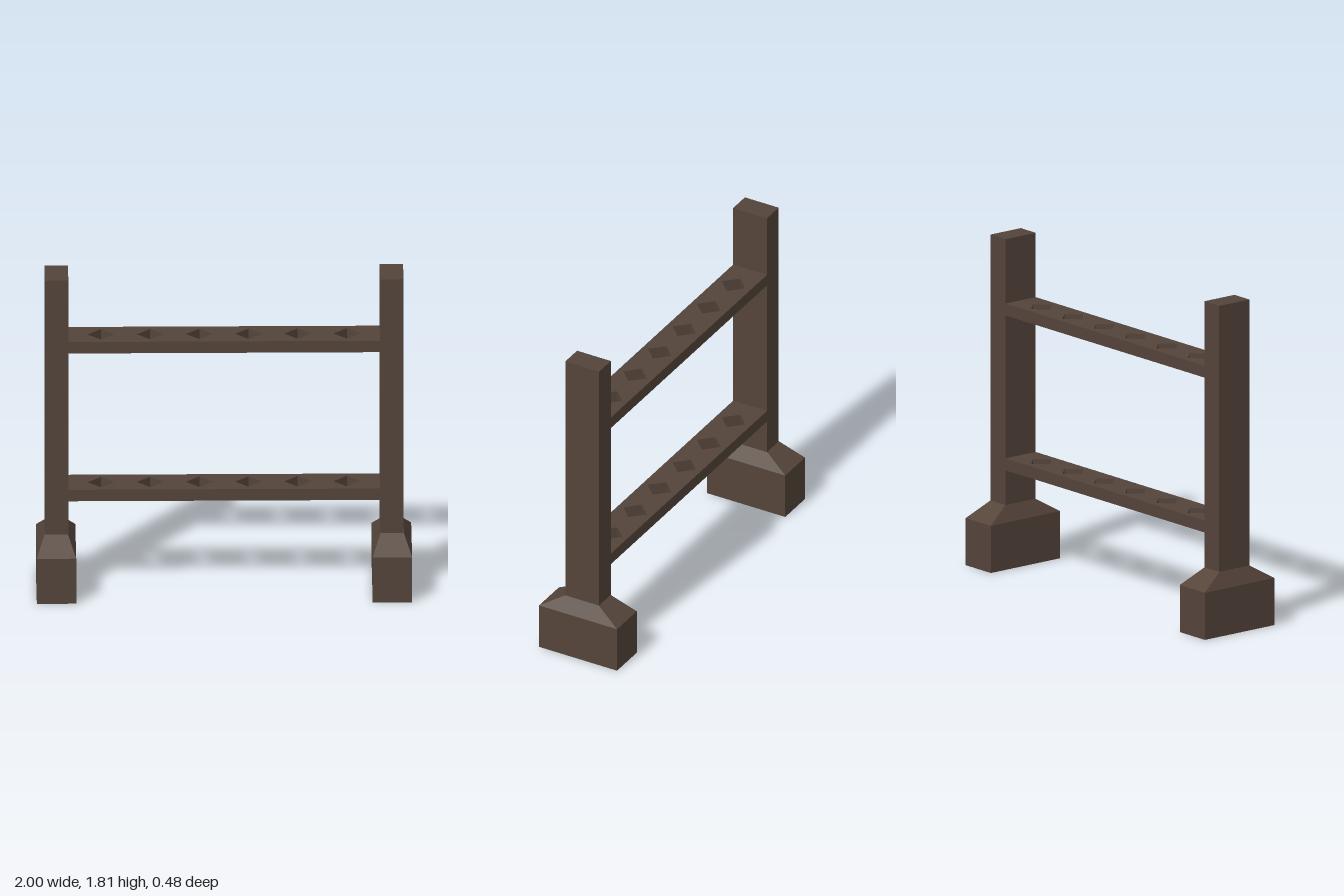
import * as THREE from 'three';

const material = new THREE.MeshStandardMaterial({ color: 0x54443a, flatShading: true });

const POST_X = 0.893, POST_W = 0.125, DEPTH = 0.208, HEIGHT = 1.81;
const FOOT_W = 0.21, FOOT_D = 0.48, FOOT_SHOULDER = 0.26, FOOT_TOP = 0.343;

// Block foot whose top tapers in to the post
function footGeometry() {
  const g = new THREE.BoxGeometry(FOOT_W, 2, FOOT_D, 1, 2, 1);
  const p = g.attributes.position;
  for (let i = 0; i < p.count; i++) {
    const level = Math.round(p.getY(i)) + 1;
    p.setY(i, [0, FOOT_SHOULDER, FOOT_TOP][level]);
    if (level === 2) {
      p.setX(i, Math.sign(p.getX(i)) * POST_W / 2);
      p.setZ(i, Math.sign(p.getZ(i)) * DEPTH / 2);
    }
  }
  g.computeVertexNormals();
  return g;
}

// Flat rail with a row of diamond holes cut through it
function railGeometry() {
  const L = POST_X - POST_W / 2, d = DEPTH / 2, r = 0.072, holes = 6, pitch = 0.262;
  const shape = new THREE.Shape([[-L, -d], [L, -d], [L, d], [-L, d]].map(([x, y]) => new THREE.Vector2(x, y)));
  for (let i = 0; i < holes; i++) {
    const x = (i - (holes - 1) / 2) * pitch;
    shape.holes.push(new THREE.Path([[x - r, 0], [x, r], [x + r, 0], [x, -r]].map(([a, b]) => new THREE.Vector2(a, b))));
  }
  return new THREE.ExtrudeGeometry(shape, { depth: 0.066, bevelEnabled: false }).rotateX(-Math.PI / 2);
}

export function createModel() {
  const model = new THREE.Group();
  model.name = 'rack';
  const add = (name, geometry, x, y) => {
    const mesh = new THREE.Mesh(geometry, material);
    mesh.name = name;
    mesh.position.set(x, y, 0);
    model.add(mesh);
  };

  // Posts and feet on both sides
  const foot = footGeometry();
  const post = new THREE.BoxGeometry(POST_W, HEIGHT - FOOT_TOP, DEPTH);
  for (const [side, s] of [['left', 1], ['right', -1]]) {
    add(side + 'Foot', foot, s * (1 - FOOT_W / 2), 0);
    add(side + 'Post', post, s * POST_X, (HEIGHT + FOOT_TOP) / 2);
  }

  // Two matching rails
  const rail = railGeometry();
  add('lowerRail', rail, 0, 0.535);
  add('upperRail', rail, 0, 1.389);
  return model;
}
